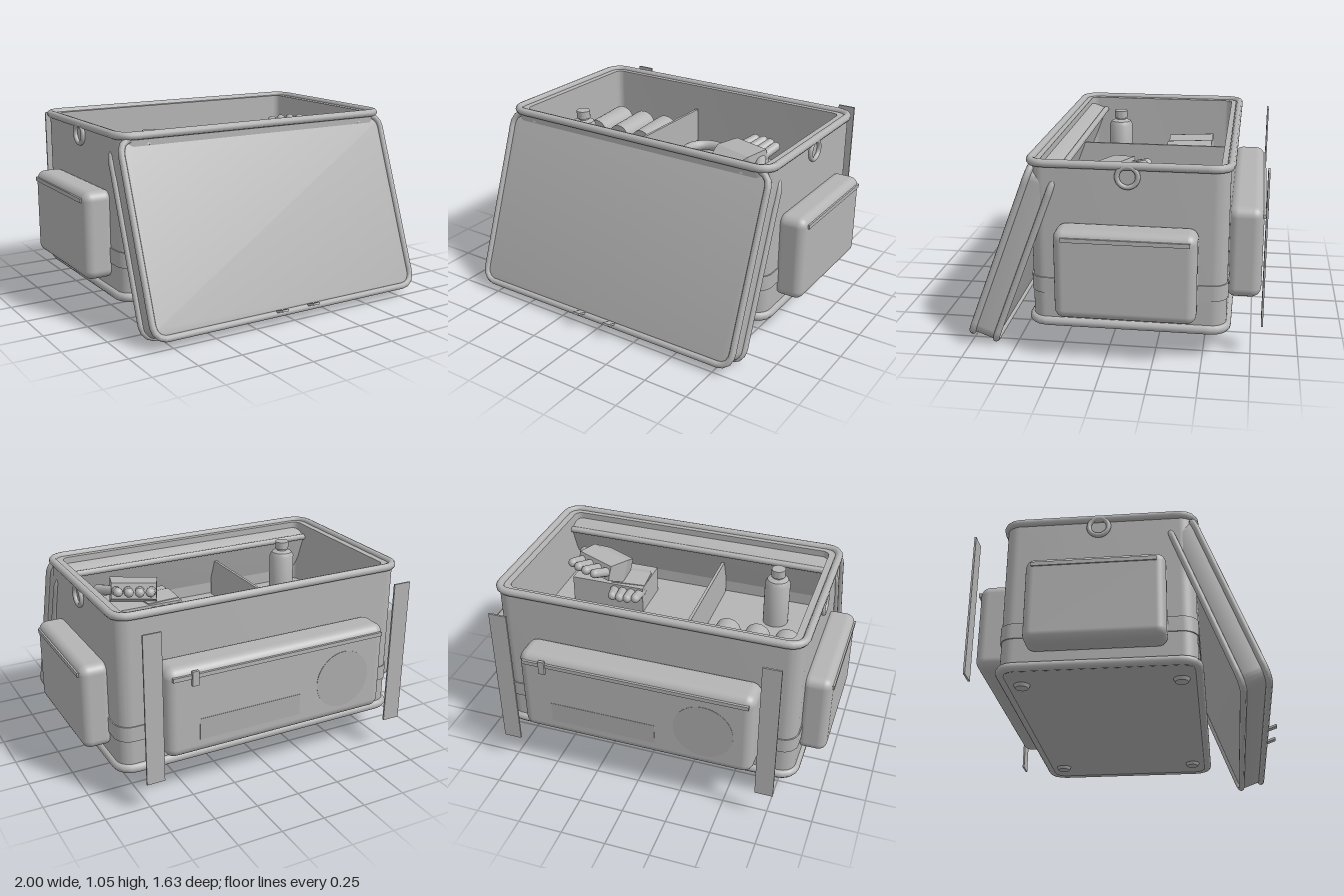
import * as THREE from 'three';
import { toCreasedNormals } from 'three/addons/utils/BufferGeometryUtils.js';
import { RoundedBoxGeometry } from 'three/addons/geometries/RoundedBoxGeometry.js';
import { ConvexGeometry } from 'three/addons/geometries/ConvexGeometry.js';

const fabric = new THREE.MeshStandardMaterial({ color: 0xb4b4b4 });
fabric.name = 'greyFabric';
const badge = new THREE.MeshStandardMaterial({ color: 0xacacac });
badge.name = 'badgeGrey';

const CZ = -0.11; // centre of the box body in z

function add(parent, name, geometry, pos = [0, 0, 0], rot = [0, 0, 0], material = fabric) {
  const mesh = new THREE.Mesh(geometry, material);
  mesh.name = name;
  mesh.position.set(...pos);
  mesh.rotation.set(...rot);
  parent.add(mesh);
  return mesh;
}

const box = (w, h, d) => new THREE.BoxGeometry(w, h, d);

// Rounded rectangle from half sizes and corner radius
function roundedRect(a, b, r, Type = THREE.Shape) {
  const s = new Type();
  s.absarc(a - r, b - r, r, 0, Math.PI / 2);
  s.absarc(-a + r, b - r, r, Math.PI / 2, Math.PI);
  s.absarc(-a + r, -b + r, r, Math.PI, Math.PI * 1.5);
  s.absarc(a - r, -b + r, r, Math.PI * 1.5, Math.PI * 2);
  s.closePath();
  return s;
}

// Slab or frame in the xy plane, extruded along z
function slab(outer, depth, hole, bevel = 0) {
  if (hole) outer.holes.push(hole);
  const g = new THREE.ExtrudeGeometry(outer, {
    depth, curveSegments: 8, bevelEnabled: bevel > 0,
    bevelSize: bevel, bevelThickness: bevel, bevelOffset: -bevel, bevelSegments: 3,
  });
  return toCreasedNormals(g, 0.6);
}

// Closed round piping in the xy plane
function piping(a, b, r, tube) {
  const pts = roundedRect(a, b, r).getSpacedPoints(120).slice(0, -1);
  const curve = new THREE.CatmullRomCurve3(pts.map(p => new THREE.Vector3(p.x, p.y, 0)), true);
  return new THREE.TubeGeometry(curve, 160, tube, 10, true);
}

function buildBody(g) {
  const flat = [-Math.PI / 2, 0, 0];
  add(g, 'bodyWalls', slab(roundedRect(0.85, 0.51, 0.08), 0.86, roundedRect(0.79, 0.46, 0.04, THREE.Path)), [0, 0.17, CZ], flat);
  add(g, 'bodyBottom', slab(roundedRect(0.85, 0.51, 0.08), 0.03), [0, 0.15, CZ], flat);
  add(g, 'innerFloor', box(1.58, 0.03, 0.92), [0, 0.635, CZ]);
  add(g, 'topPiping', piping(0.848, 0.51, 0.08, 0.022), [0, 1.028, CZ], flat);
  add(g, 'bottomPiping', piping(0.848, 0.51, 0.08, 0.025), [0, 0.167, CZ], flat);
  add(g, 'bodyBand', slab(roundedRect(0.856, 0.516, 0.085), 0.085, roundedRect(0.84, 0.5, 0.08, THREE.Path)), [0, 0.328, CZ], flat);
  add(g, 'divider', box(0.016, 0.24, 0.9), [-0.172, 0.76, CZ]);
  for (const x of [-0.66, 0.66]) for (const z of [-0.44, 0.44])
    add(g, 'foot', new THREE.CylinderGeometry(0.045, 0.035, 0.02, 20), [x, 0.142, CZ + z * 0.95]);
}

// Lid hanging open in front, leaning against the box
function buildLid(g) {
  const lid = new THREE.Group();
  lid.name = 'lid';
  lid.position.set(0, 0.508, 0.502);
  lid.rotation.x = -0.36;
  add(lid, 'lidPanel', slab(roundedRect(0.848, 0.508, 0.07), 0.1, null, 0.018), [0, 0, -0.05]);
  add(lid, 'lidOuterPiping', piping(0.85, 0.512, 0.07, 0.018), [0, 0, 0.066]);
  add(lid, 'lidInnerPiping', piping(0.85, 0.502, 0.07, 0.018), [0, 0, -0.068]);
  for (const s of [-1, 1]) {
    add(lid, 'lidTab', box(0.04, 0.012, 0.1), [s * 0.103, -0.5, 0.09]);
    add(lid, 'lidStitch', box(0.018, 0.02, 0.01), [s * 0.69, 0.485, 0.068]);
  }
  g.add(lid);
}

function buildPockets(g) {
  for (const s of [-1, 1]) {
    add(g, 'sidePocket', new RoundedBoxGeometry(0.17, 0.48, 0.725, 5, 0.05), [s * 0.908, 0.483, CZ]);
    add(g, 'sideZip', box(0.016, 0.022, 0.645), [s * 0.992, 0.677, CZ - 0.005]);
    // Carry ring on each side
    add(g, 'sideRing', new THREE.TorusGeometry(0.053, 0.013, 10, 32), [s * 0.858, 0.975, CZ], [0, Math.PI / 2, 0]);
    // Shoulder straps behind the box
    add(g, 'shoulderStrap', box(0.1, 0.83, 0.01), [s * 0.738, 0.587, -0.805]);
  }
  add(g, 'backPocket', new RoundedBoxGeometry(1.32, 0.505, 0.19, 5, 0.055), [0, 0.518, -0.7]);
  add(g, 'backZip', box(1.26, 0.022, 0.016), [0, 0.722, -0.797]);
  add(g, 'zipPull', box(0.035, 0.08, 0.016), [0.51, 0.715, -0.808]);
  add(g, 'labelPlate', box(0.6, 0.12, 0.004), [0.18, 0.41, -0.795], [0, 0, 0], badge);
  add(g, 'roundBadge', new THREE.CylinderGeometry(0.165, 0.165, 0.004, 40), [-0.39, 0.5, -0.795], [Math.PI / 2, 0, 0], badge);
}

// A glove: faceted palm, four fingers and a thumb, fingers pointing to -z
function glove(name, w) {
  const gl = new THREE.Group();
  gl.name = name;
  const pts = [];
  for (const [z, k, h] of [[-0.1, 1, 0.045], [0.03, 1.08, 0.07], [0.13, 0.75, 0.05]])
    for (const sx of [-1, 1]) for (const sy of [-1, 1])
      pts.push(new THREE.Vector3(sx * k * w / 2, sy * h, z));
  add(gl, 'palm', new ConvexGeometry(pts));
  for (let i = 0; i < 4; i++) {
    const t = (i - 1.5) / 4;
    add(gl, 'finger', new THREE.CapsuleGeometry(0.027, 0.11, 4, 10), [t * w, 0, -0.15 + Math.abs(t) * 0.04], [Math.PI / 2, 0, -t * 0.3]);
  }
  add(gl, 'thumb', new THREE.CapsuleGeometry(0.028, 0.12, 4, 10), [w * 0.62, 0, -0.02], [Math.PI / 2, 0, -0.8]);
  return gl;
}

function buildContents(g) {
  // Three rolls on a low tray
  add(g, 'rollTray', box(0.51, 0.08, 0.28), [-0.515, 0.69, -0.32]);
  for (let i = 0; i < 3; i++)
    add(g, 'roll', new THREE.CylinderGeometry(0.07, 0.085, 0.28, 24), [-0.685 + i * 0.17, 0.745, -0.32], [Math.PI / 2, 0, 0]);

  // Bottle with cap
  const profile = [[0, 0], [0.073, 0], [0.073, 0.26], [0.06, 0.285], [0.03, 0.295], [0.03, 0.305], [0.04, 0.305], [0.04, 0.35], [0, 0.35]];
  add(g, 'bottle', toCreasedNormals(new THREE.LatheGeometry(profile.map(p => new THREE.Vector2(...p)), 28), 0.6), [-0.545, 0.65, 0.125]);

  // Tape ring with its end tab
  add(g, 'tapeRing', new THREE.TorusGeometry(0.118, 0.032, 14, 40), [0, 0.682, -0.385], [Math.PI / 2, 0, 0]);
  add(g, 'tapeTab', box(0.065, 0.05, 0.1), [0.118, 0.69, -0.385]);

  // Scissors
  for (const z of [-0.485, -0.385])
    add(g, 'scissorHandle', new THREE.TorusGeometry(0.053, 0.014, 10, 28), [0.27, 0.675, z], [Math.PI / 2, 0, 0]);
  add(g, 'scissorBlade', box(0.27, 0.02, 0.035), [0.455, 0.672, -0.437]);

  // Box and a pair of gloves lying on it
  add(g, 'gloveBox', box(0.44, 0.16, 0.26), [0.44, 0.73, 0.09]);
  const low = glove('lowerGlove', 0.2);
  low.position.set(0.33, 0.76, 0.08);
  low.rotation.set(0.1, 0.1, 0);
  const high = glove('upperGlove', 0.25);
  high.position.set(0.48, 0.89, 0.04);
  high.rotation.set(0.3, -0.35, 0.15);
  g.add(low, high);
}

export function createModel() {
  const g = new THREE.Group();
  g.name = 'openStorageBag';
  buildBody(g);
  buildLid(g);
  buildPockets(g);
  buildContents(g);
  return g;
}
